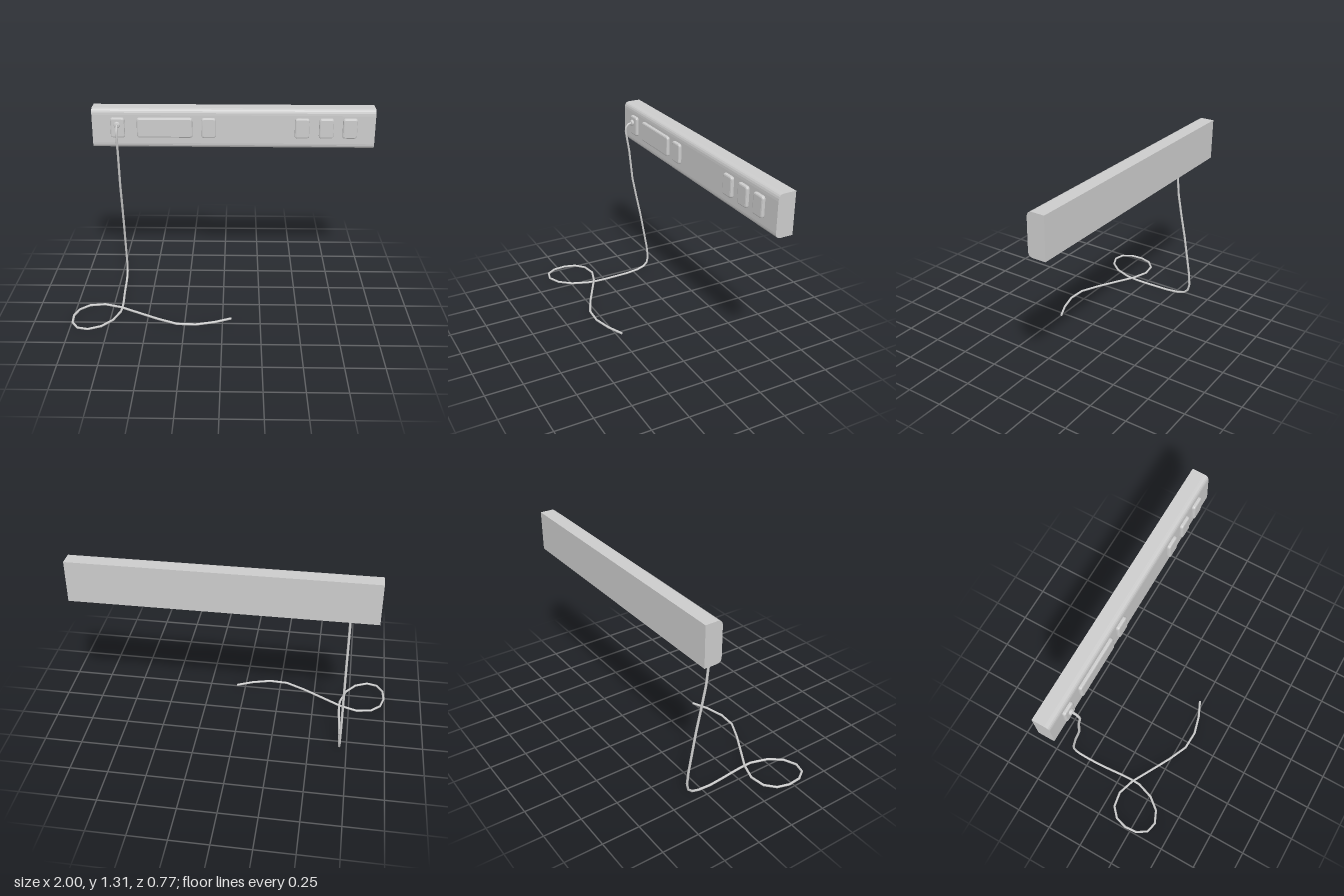
import * as THREE from 'three';

const material = new THREE.MeshStandardMaterial({ color: 0xcccccc });

function addMesh(group, name, geometry) {
  const mesh = new THREE.Mesh(geometry, material);
  mesh.name = name;
  group.add(mesh);
  return mesh;
}

function roundedRect(w, h, r) {
  const s = new THREE.Shape();
  const x = w / 2, y = h / 2;
  s.moveTo(-x + r, -y);
  s.lineTo(x - r, -y).quadraticCurveTo(x, -y, x, -y + r);
  s.lineTo(x, y - r).quadraticCurveTo(x, y, x - r, y);
  s.lineTo(-x + r, y).quadraticCurveTo(-x, y, -x, y - r);
  s.lineTo(-x, -y + r).quadraticCurveTo(-x, -y, -x + r, -y);
  return s;
}

export function createModel() {
  const model = new THREE.Group();
  model.name = 'wallPowerRail';

  // Housing: side profile with rounded front edges, extruded along x
  const back = 0.39, front = 0.275, bottom = 1.044, top = 1.313, r = 0.034;
  const profile = new THREE.Shape();
  profile.moveTo(back, bottom);
  profile.lineTo(back, top);
  profile.lineTo(front + r, top);
  profile.quadraticCurveTo(front, top, front, top - r * 1.25);
  profile.lineTo(front, bottom + r);
  profile.quadraticCurveTo(front, bottom, front + r, bottom);
  profile.closePath();
  const housing = addMesh(model, 'housing',
    new THREE.ExtrudeGeometry(profile, { depth: 1.875, bevelEnabled: false, curveSegments: 5 }));
  housing.rotation.y = Math.PI / 2; // profile x becomes -z, depth becomes +x
  housing.position.x = -0.875;

  // Raised socket and switch plates: centre x and width
  const plates = [
    ['cordSocket', -0.705, 0.094], ['displayPanel', -0.393, 0.368], ['socket', -0.101, 0.096],
    ['switch1', 0.517, 0.096], ['switch2', 0.677, 0.096], ['switch3', 0.833, 0.096],
  ];
  const bevel = 0.01, height = 0.136;
  for (const [name, x, width] of plates) {
    const shape = roundedRect(width - 2 * bevel, height - 2 * bevel, 0.008);
    const plate = addMesh(model, name, new THREE.ExtrudeGeometry(shape, {
      depth: 0.012, bevelSize: bevel, bevelThickness: bevel, bevelSegments: 2, curveSegments: 4,
    }));
    plate.position.set(x, 1.187, -0.277);
  }

  // Plug: stepped round body pointing forwards
  const plug = addMesh(model, 'plug', new THREE.LatheGeometry([
    [0, 0], [0.014, 0], [0.014, 0.008], [0.021, 0.008], [0.021, 0.016], [0.017, 0.022], [0.009, 0.024], [0.008, 0.03], [0, 0.03],
  ].map(([x, y]) => new THREE.Vector2(x, y)), 16));
  plug.geometry = plug.geometry.toNonIndexed();
  plug.geometry.computeVertexNormals();
  plug.rotation.x = Math.PI / 2;
  plug.position.set(-0.705, 1.211, -0.26);

  // Cord: drops from the plug, sweeps along the floor and makes one loop
  const points = [
    [-0.705, 1.211, -0.245], [-0.705, 1.204, -0.217], [-0.705, 1.185, -0.2], [-0.705, 1.155, -0.196],
    [-0.705, 1.1, -0.205], [-0.705, 1.01, -0.221], [-0.705, 0.79, -0.245], [-0.704, 0.64, -0.275],
    [-0.704, 0.48, -0.31], [-0.704, 0.2, -0.361], [-0.703, 0.11, -0.371], [-0.703, 0.062, -0.361],
    [-0.703, 0.034, -0.333], [-0.702, 0.018, -0.28], [-0.7, 0.01, -0.19], [-0.694, 0.012, -0.09],
    [-0.687, 0.015, 0], [-0.684, 0.019, 0.08], [-0.687, 0.023, 0.147], [-0.725, 0.026, 0.26],
    [-0.79, 0.027, 0.34], [-0.873, 0.027, 0.377], [-0.943, 0.027, 0.36], [-0.985, 0.027, 0.297],
    [-0.992, 0.027, 0.21], [-0.968, 0.027, 0.13], [-0.906, 0.027, 0.073], [-0.805, 0.027, 0.057],
    [-0.692, 0.027, 0.094], [-0.56, 0.027, 0.168], [-0.425, 0.027, 0.243], [-0.297, 0.027, 0.302],
    [-0.174, 0.027, 0.308], [-0.05, 0.027, 0.275], [0.058, 0.027, 0.227],
  ].map((p) => new THREE.Vector3(...p));
  const path = new THREE.CatmullRomCurve3(points);
  // One straight run between neighbouring points
  path.getPointAt = (t, target) => path.getPoint(t, target);
  path.getTangentAt = (t, target) => path.getTangent(t, target);
  const cordRadius = 0.008;
  addMesh(model, 'cord', new THREE.TubeGeometry(path, points.length - 1, cordRadius, 8));

  // Flat cap on the loose end of the cord
  const cap = addMesh(model, 'cordEnd', new THREE.CircleGeometry(cordRadius, 8));
  cap.position.copy(points[points.length - 1]);
  cap.lookAt(cap.position.clone().add(path.getTangent(1)));

  return model;
}
